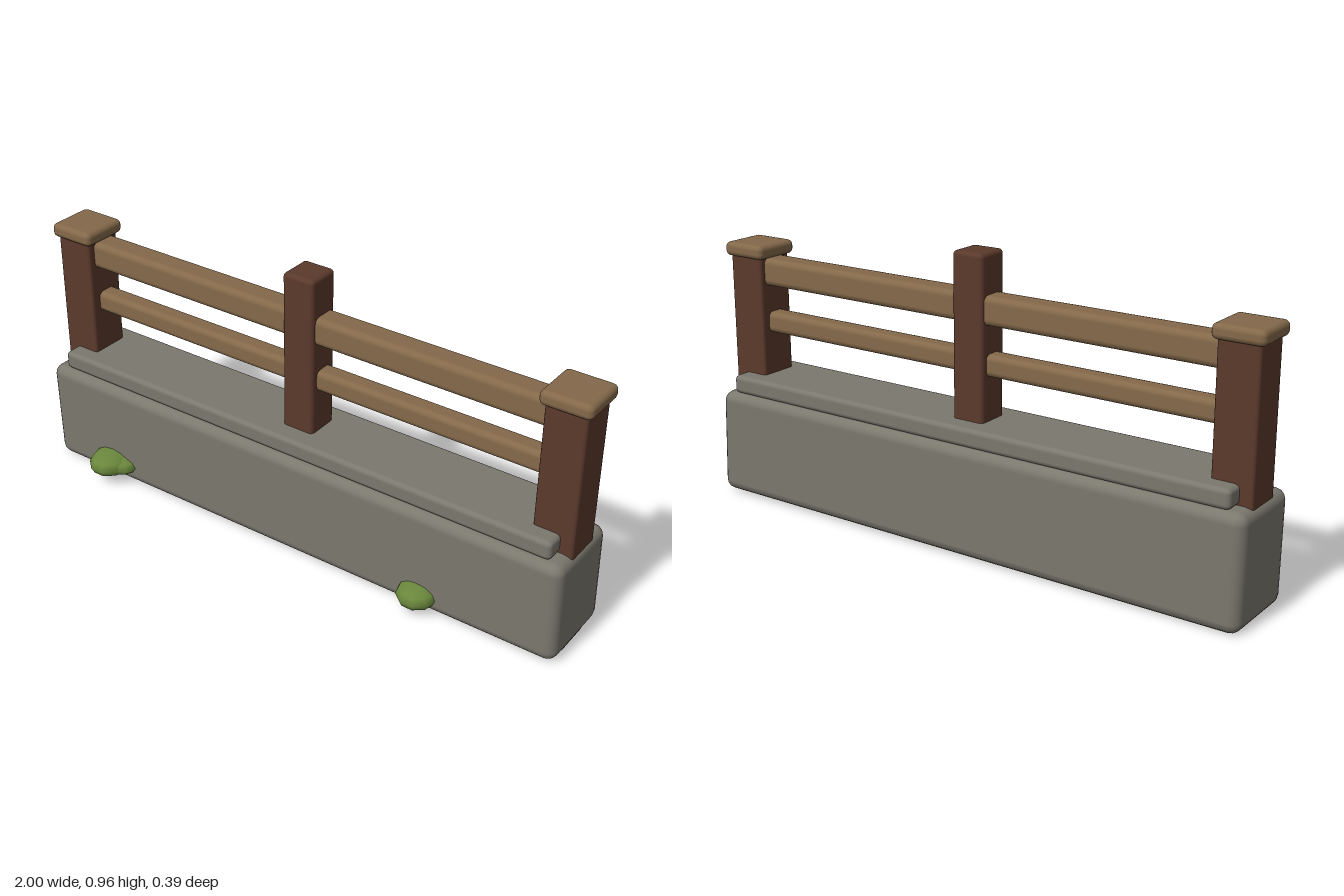
import * as THREE from 'three';
import { RoundedBoxGeometry } from 'three/addons/geometries/RoundedBoxGeometry.js';

const mat = (name, color) => Object.assign(new THREE.MeshStandardMaterial({ color }), { name });

export function createModel() {
  const stone = mat('stone', 0x7b786e);
  const darkWood = mat('dark wood', 0x5b3a2c);
  const lightWood = mat('light wood', 0x84694a);
  const moss = mat('moss', 0x6a873c);
  const group = new THREE.Group();

  const add = (name, geometry, material) => {
    const mesh = new THREE.Mesh(geometry, material);
    mesh.name = name;
    group.add(mesh);
    return mesh;
  };

  // Bevelled box given by its minimum and maximum corners
  const block = (name, [x0, y0, z0], [x1, y1, z1], bevel, material, segments = 2) => {
    const g = new RoundedBoxGeometry(x1 - x0, y1 - y0, z1 - z0, segments, bevel);
    g.translate((x0 + x1) / 2, (y0 + y1) / 2, (z0 + z1) / 2);
    return add(name, g, material);
  };

  // Stone base, slightly skewed so that it looks hand-cut
  const base = block('stoneBase', [-0.995, 0.005, -0.19], [0.99, 0.363, 0.105], 0.035, stone);
  const p = base.geometry.attributes.position;
  for (let i = 0; i < p.count; i++) {
    const x = p.getX(i), t = p.getY(i) / 0.363;
    p.setZ(i, p.getZ(i) + (t - 0.5) * (p.getZ(i) < -0.04 ? 0.014 : 0.008));
    p.setY(i, p.getY(i) + 0.004 * x * (1 - t));
  }
  base.geometry.computeBoundingSphere();

  // Ledge on the base
  block('stoneLedge', [-0.94, 0.362, -0.168], [0.94, 0.425, 0.088], 0.016, stone);

  // End posts and their caps
  for (const s of [-1, 1]) {
    const x = s * 0.915;
    block('endPost', [x - 0.067, 0.008, -0.109], [x + 0.067, 0.84, 0.029], 0.01, darkWood);
    block('postCap', [x - 0.083, 0.828, -0.124], [x + 0.083, 0.876, 0.044], 0.018, lightWood);
  }

  // Taller middle post
  block('middlePost', [-0.057, 0.36, -0.1], [0.057, 0.96, 0.018], 0.014, darkWood);

  // Rails on either side of the middle post
  for (const [x0, x1] of [[-0.87, -0.03], [0.03, 0.87]]) {
    block('upperRail', [x0, 0.735, -0.09], [x1, 0.83, 0.004], 0.022, lightWood);
    block('lowerRail', [x0, 0.57, -0.078], [x1, 0.642, -0.006], 0.02, lightWood);
  }

  // Moss clumps growing on the front face: centre, then radii
  const clumps = [
    [-0.735, 0.068, 0.105, 0.075, 0.043, 0.092],
    [-0.725, 0.066, 0.09, 0.095, 0.036, 0.08],
    [0.517, 0.06, 0.09, 0.07, 0.042, 0.08],
  ];
  for (const [x, y, z, rx, ry, rz] of clumps) {
    const g = new THREE.SphereGeometry(1, 10, 6);
    g.scale(rx, ry, rz).translate(x, y, z);
    add('mossClump', g, moss);
  }

  return group;
}
